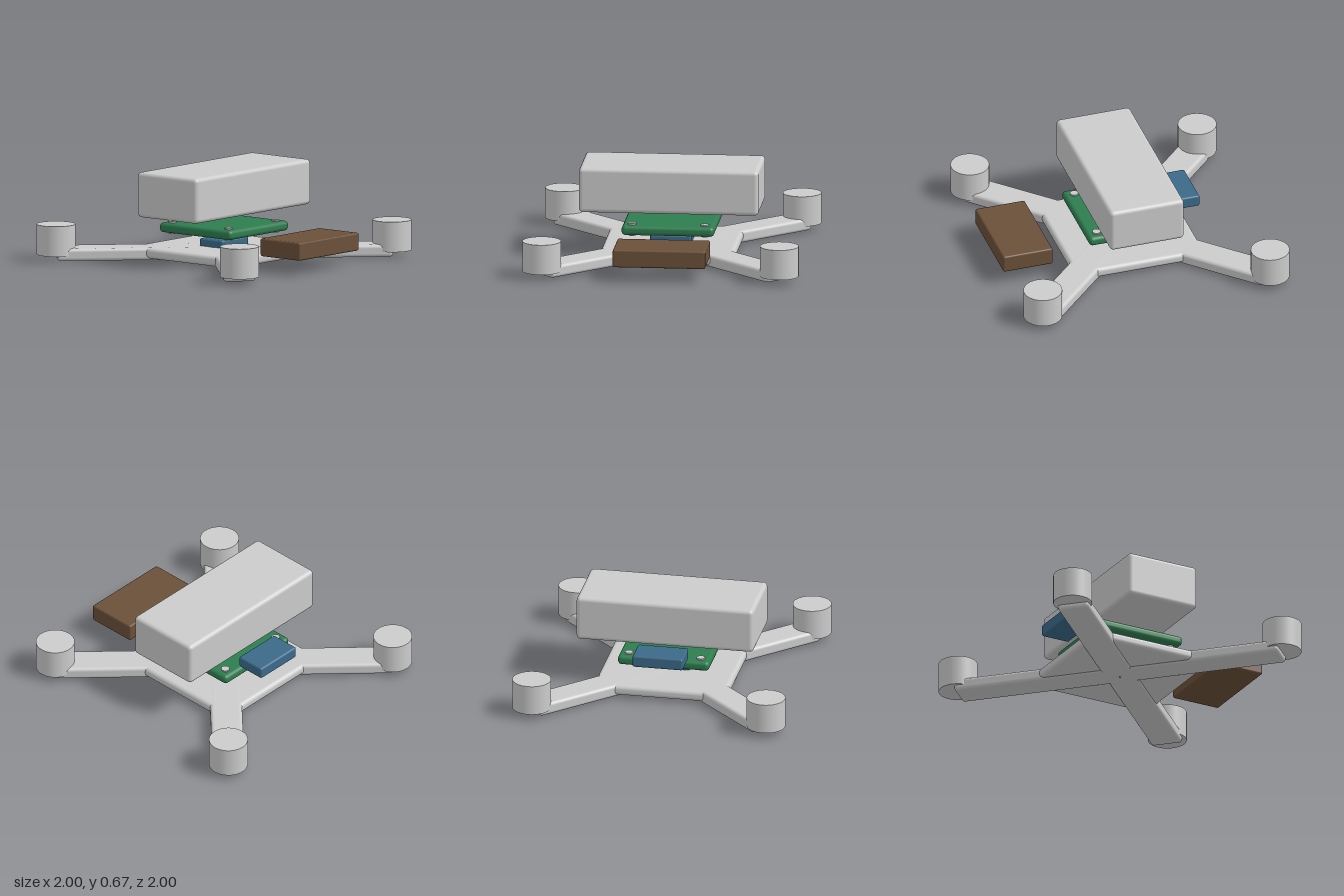
import * as THREE from 'three';
import { RoundedBoxGeometry } from 'three/addons/geometries/RoundedBoxGeometry.js';

function material(name, color) {
  const m = new THREE.MeshStandardMaterial({ color });
  m.name = name;
  return m;
}

export function createModel() {
  const model = new THREE.Group();
  model.name = 'quadcopter';
  const grey = material('light grey', 0xcccccc);
  const green = material('board green', 0x2e7d4f);
  const blue = material('module blue', 0x3b6a8a);
  const brown = material('camera brown', 0x6b5039);

  function add(name, geometry, mat, x, y, z) {
    const mesh = new THREE.Mesh(geometry, mat);
    mesh.name = name;
    mesh.position.set(x, y, z);
    model.add(mesh);
    return mesh;
  }

  // Rounded block given by its extents
  function block(name, mat, w, d, y0, y1, z, radius) {
    const geo = new RoundedBoxGeometry(w, y1 - y0, d, 4, radius);
    return add(name, geo, mat, 0, (y0 + y1) / 2, z);
  }

  // Frame: square plate with two crossed beams
  block('framePlate', grey, 0.97, 0.97, 0.02, 0.096, 0, 0.03);
  for (const side of [-1, 1]) {
    const arm = block('armBeam', grey, 2.43, 0.23, 0.007, 0.097, 0, 0.025);
    arm.rotation.y = side * Math.PI / 4;
  }
  // Small pin under the centre
  add('centrePin', new THREE.CylinderGeometry(0.008, 0.008, 0.02, 16), grey, 0, 0.01, 0);

  // Motors on the arm tips and screws on the board corners
  const motor = new THREE.CylinderGeometry(0.14, 0.14, 0.22, 48);
  const screw = new THREE.CylinderGeometry(0.03, 0.03, 0.09, 24);
  for (const x of [-1, 1]) {
    for (const z of [-1, 1]) {
      add('motor', motor, grey, x * 0.86, 0.155, z * 0.86);
      add('boardScrew', screw, grey, x * 0.263, 0.23, z * 0.263);
    }
  }

  // Electronics stack
  block('lowerModule', blue, 0.3, 0.22, 0.07, 0.152, 0, 0.015);
  block('circuitBoard', green, 0.67, 0.67, 0.195, 0.265, 0, 0.028);
  block('battery', grey, 1.3, 0.56, 0.345, 0.673, 0, 0.03);
  block('rearReceiver', blue, 0.37, 0.222, 0.28, 0.368, -0.434, 0.015);
  block('frontCamera', brown, 0.67, 0.373, 0.11, 0.24, 0.802, 0.013);
  return model;
}
